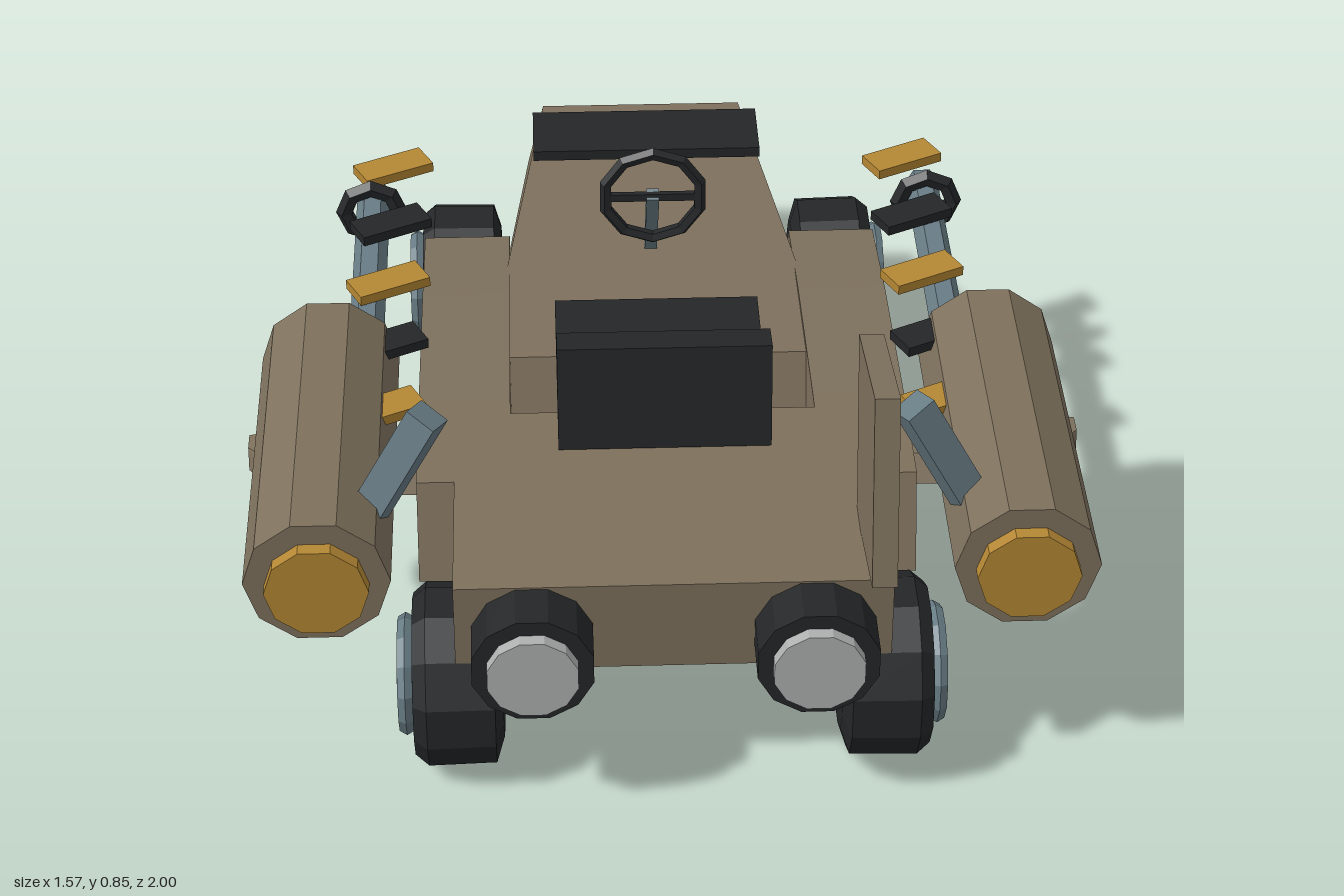
import * as THREE from 'three';
import { ConvexGeometry } from 'three/addons/geometries/ConvexGeometry.js';

const material = (name, color) => {
  const m = new THREE.MeshStandardMaterial({ color });
  m.name = name;
  return m;
};

export function createModel() {
  const model = new THREE.Group();
  model.name = 'buggy';
  const brown = material('body brown', 0x7e715d);
  const black = material('rubber black', 0x242628);
  const blue = material('steel blue', 0x687c85);
  const gold = material('brass gold', 0xb48734);
  const grey = material('exhaust grey', 0xaeb0b0);

  // Adds a faceted mesh
  const add = (name, geo, mat, x = 0, y = 0, z = 0, parent = model) => {
    const g = geo.index ? geo.toNonIndexed() : geo;
    g.computeVertexNormals();
    const mesh = new THREE.Mesh(g, mat);
    mesh.name = name;
    mesh.position.set(x, y, z);
    parent.add(mesh);
    return mesh;
  };
  const box = (w, h, d) => new THREE.BoxGeometry(w, h, d);
  // Cylinder along z, turned so a flat side faces up
  const drum = (r, len, sides, turn = 0) =>
    new THREE.CylinderGeometry(r, r, len, sides).rotateX(Math.PI / 2).rotateZ(turn);
  // Profile of [z, y] points extruded from x0 to x1
  const slab = (points, x0, x1) =>
    new THREE.ExtrudeGeometry(new THREE.Shape(points.map(p => new THREE.Vector2(...p))),
      { depth: x1 - x0, bevelEnabled: false }).rotateY(-Math.PI / 2).translate(x1, 0, 0);
  // Box bar between two points
  const bar = (name, a, b, w, mat, parent = model) => {
    const from = new THREE.Vector3(...a), to = new THREE.Vector3(...b);
    const mesh = add(name, box(w, w, from.distanceTo(to)), mat, 0, 0, 0, parent);
    mesh.position.copy(from).lerp(to, 0.5);
    mesh.quaternion.setFromUnitVectors(new THREE.Vector3(0, 0, 1), to.sub(from).normalize());
    return mesh;
  };

  // Tapered nose hull: rows of half width, y, z
  const corners = [];
  for (const [w, y, z] of [[0.25, 0.19, -1], [0.215, 0.38, -0.92], [0.335, 0.435, 0.13], [0.34, 0.19, 0.215]])
    corners.push(new THREE.Vector3(w, y, z), new THREE.Vector3(-w, y, z));
  add('noseHull', new ConvexGeometry(corners), brown);

  // Rear body and cross beam
  add('rearBody', slab([[0.345, 0.215], [0.6, 0.215], [0.88, 0.27], [0.88, 0.455], [0.345, 0.455]], -0.395, 0.395), brown);
  const beam = [];
  for (const s of [-1, 1])
    for (const [x, y, z] of [[0.72, 0.39, 0.34], [0.72, 0.39, 0.51], [0.72, 0.44, 0.36], [0.72, 0.44, 0.48],
      [0.785, 0.39, 0.36], [0.785, 0.39, 0.42], [0.785, 0.435, 0.37], [0.785, 0.435, 0.41]])
      beam.push(new THREE.Vector3(s * x, y, z));
  add('crossBeam', new ConvexGeometry(beam), brown);

  // Tail fin
  add('tailFin', slab([[0.965, 0.505], [0.885, 0.855], [0.585, 0.785], [0.665, 0.44]], 0.345, 0.39), brown);

  // Seat
  add('seatCushion', box(0.4, 0.05, 0.42), black, 0, 0.465, 0.225);
  const seatBack = new THREE.Group();
  seatBack.name = 'seatBack';
  seatBack.position.set(0, 0.56, 0.425);
  seatBack.rotation.x = -0.13;
  add('seatBackFrame', box(0.4, 0.21, 0.07), black, 0, 0, 0, seatBack);
  add('seatBackPad', box(0.31, 0.16, 0.03), brown, 0, 0, -0.045, seatBack);
  model.add(seatBack);

  // Steering wheel and column
  add('steeringWheel', new THREE.TorusGeometry(0.098, 0.013, 5, 10).rotateZ(Math.PI / 10), black, 0, 0.617, -0.165);
  bar('steeringColumn', [0, 0.42, -0.295], [0, 0.62, -0.165], 0.025, blue);
  add('steeringSpoke', box(0.19, 0.016, 0.012), black, 0, 0.615, -0.165);

  // Windscreen panel above the nose
  add('nosePanel', box(0.475, 0.022, 0.16), black, 0, 0.49, -0.61);

  // Wheel with its outer side toward +z, turned outward afterwards
  const makeWheel = (name) => {
    const wheel = new THREE.Group();
    wheel.name = name;
    const profile = [[0, -0.085], [0.12, -0.085], [0.168, -0.07], [0.171, 0.055], [0.15, 0.08], [0.1, 0.082], [0, 0.07]]
      .map(p => new THREE.Vector2(...p));
    const flat = Math.PI / 12;
    add('tyre', new THREE.LatheGeometry(profile, 12).rotateX(Math.PI / 2).rotateZ(flat), black, 0, 0, 0, wheel);
    add('rim', new THREE.TorusGeometry(0.098, 0.016, 6, 12).rotateZ(flat), blue, 0, 0, 0.095, wheel);
    add('hub', drum(0.03, 0.045, 8), blue, 0, 0, 0.09, wheel);
    for (let i = 0; i < 5; i++) {
      const a = Math.PI / 2 + i * Math.PI * 2 / 5;
      const spoke = add('spoke', box(0.1, 0.02, 0.02), blue, Math.cos(a) * 0.05, Math.sin(a) * 0.05, 0.095, wheel);
      spoke.rotation.z = a;
    }
    return wheel;
  };

  for (const s of [-1, 1]) {
    const side = s > 0 ? 'left' : 'right';

    // Side panel with sloping ends
    const panel = [[-0.43, 0.27], [0.62, 0.27], [0.56, 0.455], [0.3, 0.455], [-0.1, 0.432], [-0.37, 0.395]];
    add(side + 'SidePanel', s > 0 ? slab(panel, 0.29, 0.465) : slab(panel, -0.465, -0.29), brown);

    // Wheels
    for (const [end, z] of [['Front', -0.55], ['Rear', 0.76]]) {
      const wheel = makeWheel(side + end + 'Wheel');
      wheel.position.set(s * 0.395, 0.166, z);
      wheel.rotation.y = s * Math.PI / 2;
      model.add(wheel);
    }

    // Side pod with brass nozzle, barrel and muzzle ring
    add(side + 'Pod', drum(0.1325, 0.705, 10, Math.PI / 2), brown, s * 0.637, 0.459, 0.5025);
    add(side + 'PodNozzle', drum(0.094, 0.03, 10, Math.PI / 2), gold, s * 0.637, 0.455, 0.867);
    add(side + 'Barrel', drum(0.034, 0.6, 6, Math.PI / 6), blue, s * 0.569, 0.474, -0.125);
    add(side + 'MuzzleRing', new THREE.TorusGeometry(0.056, 0.018, 5, 8), black, s * 0.572, 0.468, -0.362);

    // Slanted strut on the pod
    bar(side + 'Strut', [s * 0.433, 0.715, 0.71], [s * 0.57, 0.46, 0.71], 0.06, blue);

    // Row of alternating slanted plates
    for (let i = 0; i < 5; i++) {
      const plate = add(side + 'Plate', box(0.15, 0.02, 0.07), i % 2 ? black : gold, s * 0.528, 0.52, -0.445 + i * 0.215);
      plate.rotation.y = 0.46;
    }

    // Rear exhaust
    add(side + 'ExhaustHousing', drum(0.113, 0.16, 12, Math.PI / 12), black, s * 0.255, 0.342, 0.895);
    add(side + 'ExhaustOutlet', drum(0.084, 0.03, 12, Math.PI / 12), grey, s * 0.255, 0.342, 0.985);
  }
  return model;
}
